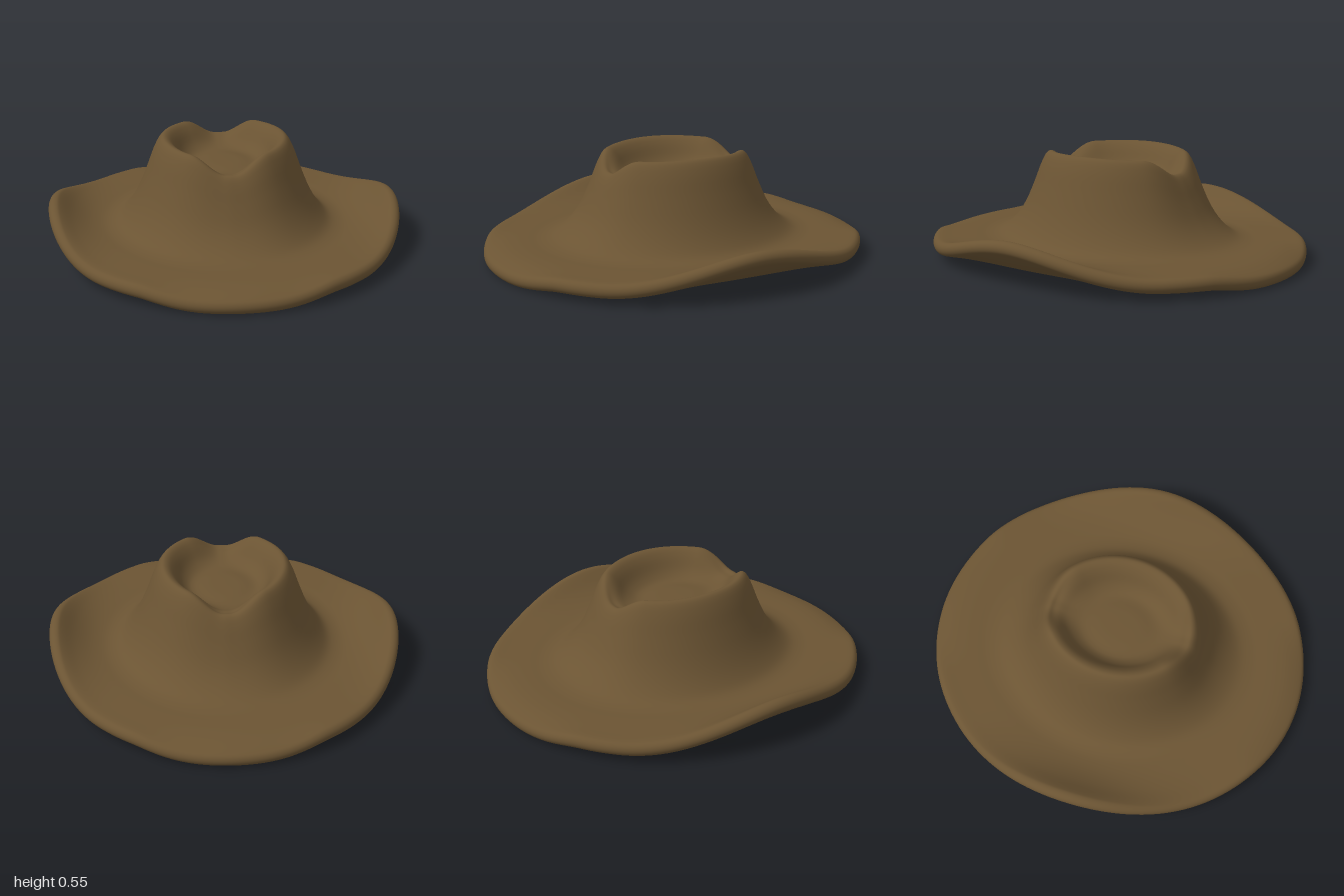
import * as THREE from 'three';

const { smoothstep, lerp } = THREE.MathUtils;
const SEGMENTS = 144, SAMPLES = 132;
const HALF = 0.036; // half the felt thickness

// Closed cross-section of the shell at angle a (0 = front), as [rx, rz, y]
// from the middle of the crown, out round the brim edge and back underneath.
function section(a) {
  const s = Math.abs(Math.sin(a)), c = Math.abs(Math.cos(a));
  const top = 0.46 + 0.085 * smoothstep(0.32 * s, 0.02, 0.2) + 0.01 * s ** 4;
  const lift = 0.125 * (1 - smoothstep(c, 0, 0.72)); // sides curl up
  const droop = 0.032 * smoothstep(c, 0.85, 1);      // front and back dip
  const pts = [];

  // crown dent and rim
  pts.push([0, 0, 0.422], [0.09, 0.11, 0.42], [0.17, 0.2, 0.415],
    [0.215, 0.265, lerp(0.42, top, 0.22)], [0.255, 0.315, lerp(0.42, top, 0.7)],
    [0.285, 0.345, top - 0.008], [0.31, 0.368, top]);

  // outer crown wall, heights as fractions of the local rim height
  for (const [rx, rz, k] of [[0.33, 0.388, 0.97], [0.36, 0.415, 0.85], [0.4, 0.455, 0.61],
    [0.45, 0.51, 0.34], [0.5, 0.575, 0.15], [0.55, 0.645, 0.035]])
    pts.push([rx, rz, 0.109 + (top - 0.109) * k]);

  // brim: a midline offset to both faces, joined by a rounded edge
  const brim = (t, turn) => {
    const y = 0.072 + lift * t * t - droop * t ** 4;
    const slope = (2 * t * lift - 4 * t ** 3 * droop) / 0.25;
    const dir = Math.PI / 2 + Math.atan(slope) - turn;
    const dr = HALF * Math.cos(dir);
    pts.push([lerp(0.61, 0.875, t) + dr, lerp(0.72, 0.965, t) + dr, y + HALF * Math.sin(dir)]);
  };
  for (const t of [0, 0.25, 0.5, 0.75]) brim(t, 0);
  for (let i = 0; i <= 6; i++) brim(1, Math.PI * i / 6);
  for (const t of [0.75, 0.5, 0.25, 0]) brim(t, Math.PI);

  // inner crown wall
  for (const [rx, rz, k] of [[0.53, 0.63, 0.02], [0.475, 0.56, 0.14], [0.42, 0.495, 0.36],
    [0.37, 0.43, 0.66], [0.335, 0.385, 0.87]])
    pts.push([rx, rz, 0.037 + (top - 0.107) * k]);

  // underside of the dent
  pts.push([0.3, 0.35, top - 0.07], [0.25, 0.295, lerp(0.35, top - 0.07, 0.6)],
    [0.19, 0.225, 0.352], [0.1, 0.12, 0.35], [0, 0, 0.35]);

  return new THREE.CatmullRomCurve3(pts.map(([rx, rz, y]) =>
    new THREE.Vector3(rx * Math.sin(a), y, rz * Math.cos(a))));
}

// Sweep the section around the vertical axis
function hatGeometry() {
  const positions = [], index = [], row = SAMPLES + 1;
  for (let i = 0; i < SEGMENTS; i++) {
    const curve = section(i / SEGMENTS * Math.PI * 2);
    for (let j = 0; j <= SAMPLES; j++) positions.push(...curve.getPoint(j / SAMPLES).toArray());
    const p = i * row, q = ((i + 1) % SEGMENTS) * row;
    for (let j = 0; j < SAMPLES; j++) {
      if (j > 0) index.push(p + j, p + j + 1, q + j);
      if (j < SAMPLES - 1) index.push(p + j + 1, q + j + 1, q + j);
    }
  }
  // the first and last samples of every row meet on the axis
  index.forEach((v, n) => {
    if (v % row === 0) index[n] = 0;
    else if (v % row === SAMPLES) index[n] = SAMPLES;
  });
  const geometry = new THREE.BufferGeometry();
  geometry.setAttribute('position', new THREE.Float32BufferAttribute(positions, 3));
  geometry.setIndex(index);
  geometry.computeVertexNormals();
  return geometry;
}

export function createModel() {
  const group = new THREE.Group();
  group.name = 'wideBrimHat';
  const hat = new THREE.Mesh(hatGeometry(), new THREE.MeshStandardMaterial({ color: 0x6b5433 }));
  hat.name = 'crownAndBrim';
  group.add(hat);
  return group;
}
